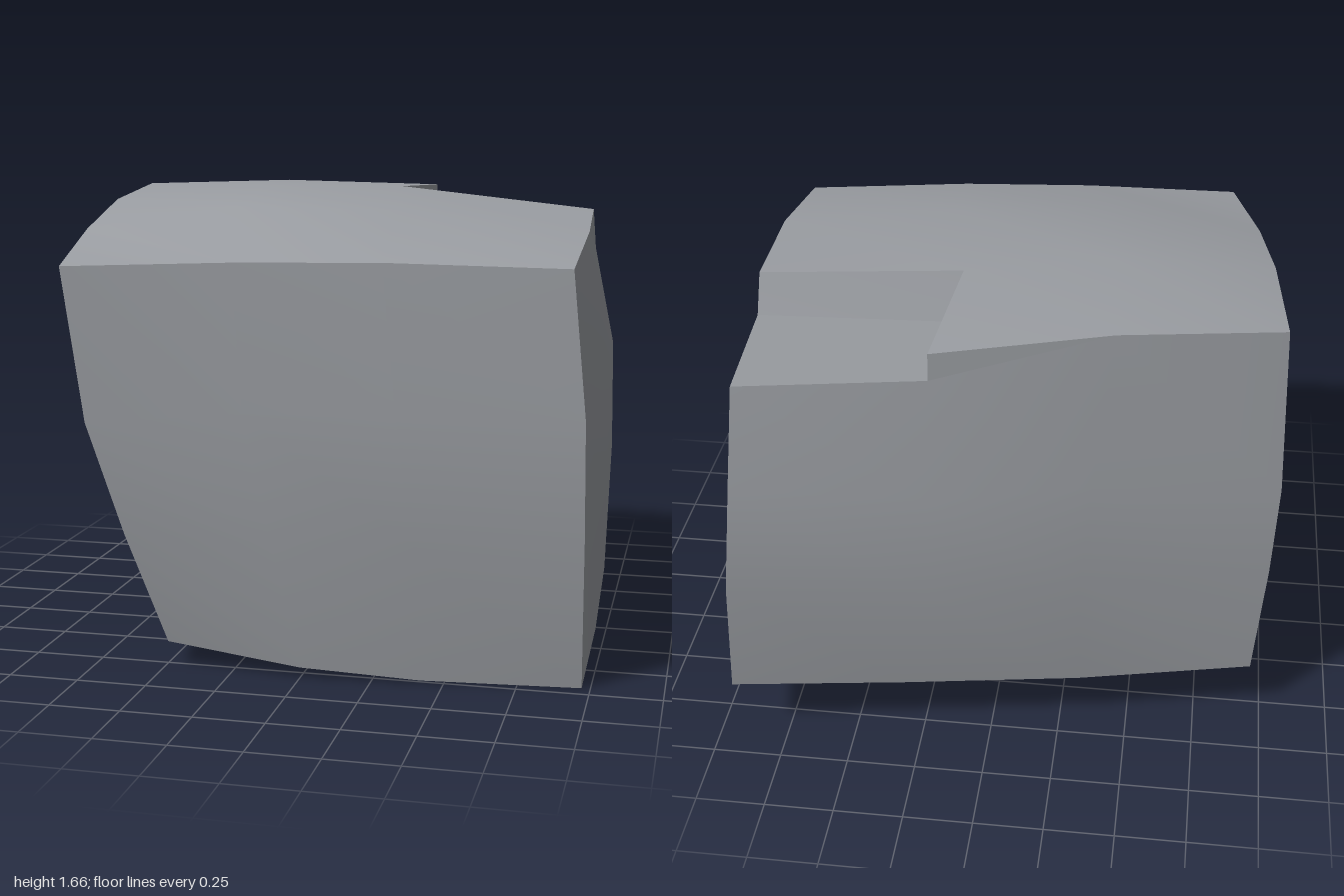
import * as THREE from 'three';

// Corners: T/B top/bottom, F/K front/back, L at -x, R at +x
const TFL = [-0.785, 1.44, 0.965], TFR = [0.92, 1.45, 0.78];
const TKL = [-0.975, 1.64, -0.515], TKR = [0.83, 1.52, -0.88];
const BFL = [-0.49, 0.09, 0.78], BFR = [0.97, 0, 0.69];
const BKL = [-0.95, 0.24, -0.575], BKR = [0.925, 0.27, -0.935];

// Rim of the notch at the back right corner, and its floor
const rimSide = [0.895, 1.58, -0.205], rimInner = [0.15, 1.655, -0.245], rimBack = [0.19, 1.635, -0.79];
const floorSide = [0.903, 1.43, -0.25], floorInner = [0.16, 1.475, -0.293], floorBack = [0.19, 1.54, -0.8];

// Bowed edges, x- to x+
const topFront = [TFL, [-0.2, 1.46, 0.915], [0.3, 1.465, 0.86], TFR];
const topBack = [TKL, [-0.41, 1.655, -0.63], rimBack, TKR];
const bottomFront = [BFL, [0, 0.04, 0.81], [0.42, 0.01, 0.765], BFR];
const bottomBack = [BKL, [-0.32, 0.235, -0.71], [0.3, 0.245, -0.82], BKR];
// Bowed edges, back to front
const topLeft = [TKL, [-0.935, 1.605, 0], [-0.885, 1.525, 0.45], TFL];
const topRight = [TKR, rimSide, [0.925, 1.535, 0.3], TFR];
const bottomLeft = [BKL, [-0.76, 0.175, -0.1], [-0.6, 0.115, 0.36], BFL];
const bottomRight = [BKR, [0.965, 0.155, -0.3], [0.975, 0.06, 0.2], BFR];
// Bowed edges, top to bottom
const frontLeft = [TFL, [-0.725, 0.9, 0.925], [-0.61, 0.5, 0.875], BFL];
const frontRight = [TFR, [0.97, 0.95, 0.785], [0.975, 0.54, 0.77], BFR];
const backLeft = [TKL, [-1, 1.02, -0.54], [-0.985, 0.68, -0.56], BKL];
const backRight = [TKR, [0.865, 1.13, -0.917], [0.895, 0.74, -0.968], BKR];

export function createModel() {
  const group = new THREE.Group();
  group.name = 'stoneBlock';
  const stone = new THREE.MeshStandardMaterial({ color: 0x9b9ea3 });
  stone.name = 'stone grey';

  // Smooth sheet through rows of points (top-left first, seen from outside);
  // one cell may be left out and one extra triangle added
  function sheet(name, rows, skipCell = -1, extra = []) {
    const w = rows[0].length, index = [];
    for (let i = 0; i < rows.length - 1; i++) {
      for (let j = 0; j < w - 1; j++) {
        if (i * (w - 1) + j === skipCell) continue;
        const a = i * w + j, c = a + w;
        index.push(a, c, c + 1, a, c + 1, a + 1);
      }
    }
    const points = [...rows.flat(), ...extra];
    extra.forEach((_, k) => index.push(rows.length * w + k));
    const geo = new THREE.BufferGeometry();
    geo.setAttribute('position', new THREE.Float32BufferAttribute(points.flat(), 3));
    geo.setIndex(index);
    geo.computeVertexNormals();
    const mesh = new THREE.Mesh(geo, stone);
    mesh.name = name;
    group.add(mesh);
  }

  sheet('frontFace', [
    topFront,
    [frontLeft[1], [-0.17, 0.95, 0.905], [0.35, 0.95, 0.87], frontRight[1]],
    [frontLeft[2], [-0.08, 0.5, 0.88], [0.4, 0.52, 0.85], frontRight[2]],
    bottomFront,
  ]);

  // The back right cell of the top is open for the notch
  sheet('topFace', [
    topBack,
    [topLeft[1], [-0.37, 1.66, -0.1], rimInner, rimSide],
    [topLeft[2], [-0.32, 1.61, 0.4], [0.25, 1.6, 0.34], topRight[2]],
    topFront,
  ], 2);

  sheet('leftFace', [
    topLeft,
    [backLeft[1], [-0.99, 1.03, 0.03], [-0.89, 1, 0.45], frontLeft[1]],
    [backLeft[2], [-0.91, 0.63, -0.03], [-0.78, 0.57, 0.4], frontLeft[2]],
    bottomLeft,
  ]);

  // Side and back follow the notch floor; the extra triangle reaches its rim
  sheet('rightFace', [
    [TFR, topRight[2], floorSide, TKR],
    [frontRight[1], [1, 1.01, 0.22], [0.975, 1.06, -0.3], backRight[1]],
    [frontRight[2], [0.998, 0.57, 0.2], [0.98, 0.65, -0.32], backRight[2]],
    [...bottomRight].reverse(),
  ], -1, [topRight[2], floorSide, rimSide]);

  sheet('backFace', [
    [TKR, floorBack, topBack[1], TKL],
    [backRight[1], [0.2, 1.1, -0.86], [-0.35, 1.1, -0.72], backLeft[1]],
    [backRight[2], [0.18, 0.7, -0.865], [-0.32, 0.7, -0.742], backLeft[2]],
    [...bottomBack].reverse(),
  ], -1, [rimBack, floorBack, topBack[1]]);

  sheet('underside', [
    bottomFront,
    [bottomLeft[2], [-0.02, 0.06, 0.3], [0.46, 0.025, 0.22], bottomRight[2]],
    [bottomLeft[1], [-0.15, 0.125, -0.2], [0.4, 0.1, -0.24], bottomRight[1]],
    bottomBack,
  ]);

  // Notch
  sheet('notchFloor', [[floorBack, TKR], [floorInner, floorSide]]);
  sheet('notchFrontWall', [[rimSide, rimInner], [floorSide, floorInner]]);
  sheet('notchSideWall', [[rimInner, rimBack], [floorInner, floorBack]]);

  return group;
}
